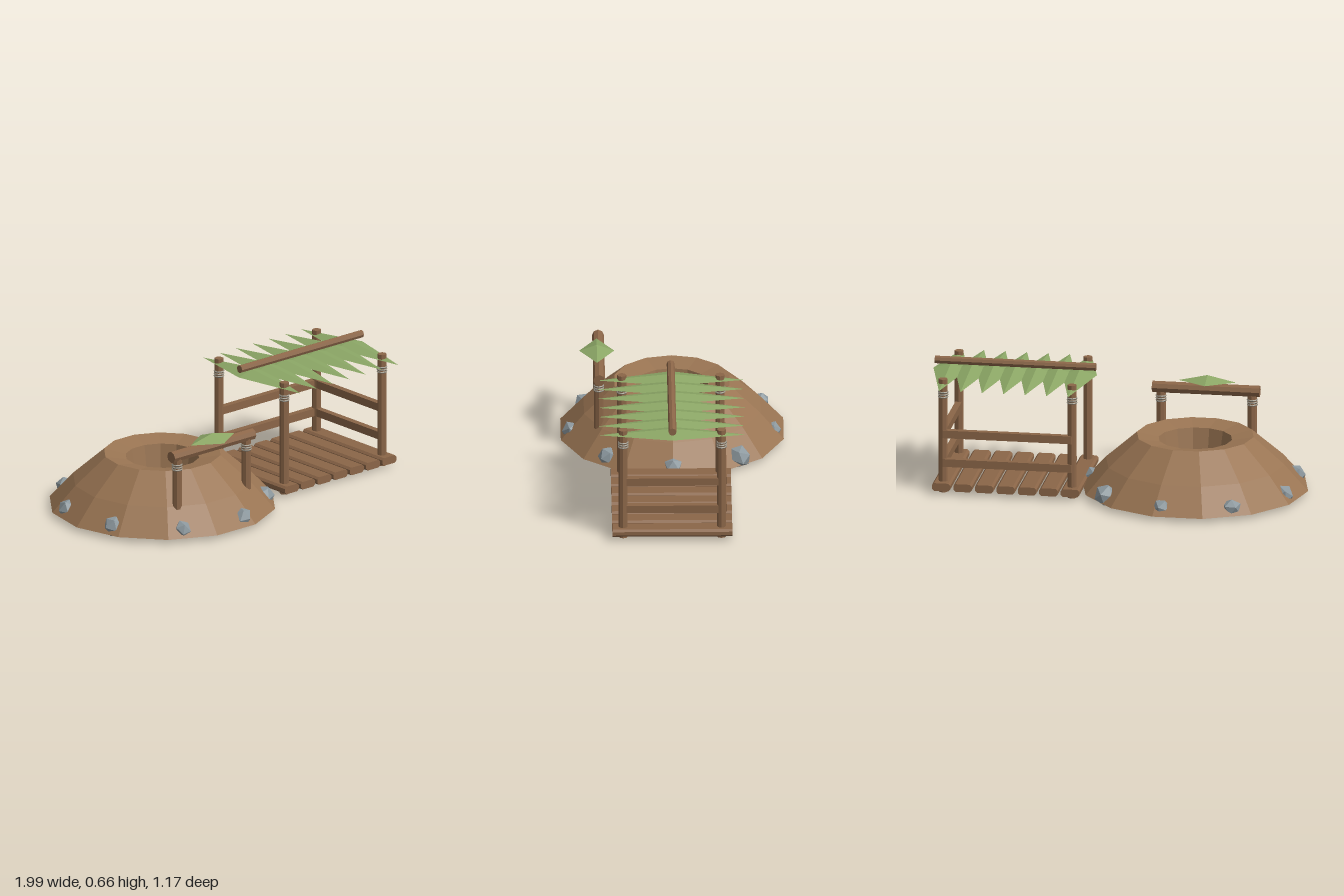
import * as THREE from 'three';

const flat = (color, name, side = THREE.FrontSide) => {
  const m = new THREE.MeshStandardMaterial({ color, flatShading: true, side });
  m.name = name;
  return m;
};

export function createModel() {
  const earth = flat(0x9a7553, 'earth', THREE.DoubleSide);
  const wood = flat(0x8b6648, 'wood');
  const leaf = flat(0x8ba665, 'leaf', THREE.DoubleSide);
  const stone = flat(0x8d999f, 'stone');
  const rope = flat(0x9c978a, 'rope');

  const model = new THREE.Group();
  model.name = 'moundAndShelter';

  const add = (parent, name, geometry, material, x = 0, y = 0, z = 0) => {
    const mesh = new THREE.Mesh(geometry, material);
    mesh.name = name;
    mesh.position.set(x, y, z);
    parent.add(mesh);
    return mesh;
  };
  const group = (name) => {
    const g = new THREE.Group();
    g.name = name;
    model.add(g);
    return g;
  };

  // Upright pole with three rope rings below its top
  const post = (parent, name, x, z, height, r, ropeY) => {
    add(parent, name, new THREE.CylinderGeometry(r, r, height, 8), wood, x, height / 2, z);
    for (let i = -1; i <= 1; i++) {
      const ring = add(parent, 'lashing', new THREE.TorusGeometry(r, 0.005, 5, 10), rope, x, ropeY + i * 0.013, z);
      ring.rotation.x = Math.PI / 2;
    }
  };
  // Pole lying along x
  const beam = (parent, name, x0, x1, y, z, r) => {
    const m = add(parent, name, new THREE.CylinderGeometry(r, r, x1 - x0, 8), wood, (x0 + x1) / 2, y, z);
    m.rotation.set(0, 0, Math.PI / 2);
  };
  // Diamond leaf with a raised middle; side corners sit at sideY, tips at 0
  const leafGeometry = (halfX, halfZ, height, sideY) => {
    const g = new THREE.BufferGeometry();
    g.setAttribute('position', new THREE.Float32BufferAttribute([
      0, height, 0, halfX, sideY, 0, 0, 0, halfZ, -halfX, sideY, 0, 0, 0, -halfZ], 3));
    g.setIndex([0, 2, 1, 0, 3, 2, 0, 4, 3, 0, 1, 4]);
    const out = g.toNonIndexed();
    out.computeVertexNormals();
    return out;
  };

  // Hollow mound with a tapering shaft
  const mound = group('mound');
  const profile = [[0.6, 0.02], [0.475, 0.158], [0.31, 0.302], [0.195, 0.28], [0.15, 0.01]]
    .map(([r, y]) => new THREE.Vector2(r, y));
  add(mound, 'moundShell', new THREE.LatheGeometry(profile, 14), earth, -0.4, 0, 0).rotation.y = Math.PI / 2;

  // Stones set around the foot of the mound
  const sizes = [0.054, 0.056, 0.057, 0.05, 0.056, 0.055, 0.054, 0.05, 0.064];
  sizes.forEach((r, i) => {
    const a = (i * 40 * Math.PI) / 180;
    const d = i === 8 ? 0.545 : 0.535;
    const s = add(mound, 'stone', new THREE.IcosahedronGeometry(r, 0), stone,
      -0.4 + d * Math.cos(a), 0.053, d * Math.sin(a));
    s.rotation.set(i * 0.7, i * 1.3, i * 0.4);
    s.scale.y = 0.9;
  });

  // Small gate in front of the shaft
  const gate = group('gate');
  for (const x of [-0.64, -0.155]) post(gate, 'gatePost', x, 0.387, 0.425, 0.025, 0.375);
  beam(gate, 'gateBeam', -0.68, -0.11, 0.435, 0.385, 0.031);
  add(gate, 'gateLeaf', leafGeometry(0.153, 0.092, 0.034, 0), leaf, -0.4, 0.474, 0.395);

  // Shelter: chamfered floor planks and roof leaves, one per bay
  const shelter = group('shelter');
  const cz = 0.013, w = 0.049, h = 0.021, c = 0.011;
  const section = new THREE.Shape([
    [-w + c, -h], [w - c, -h], [w, -h + c], [w, h - c], [w - c, h], [-w + c, h], [-w, h - c], [-w, -h + c],
  ].map(([x, y]) => new THREE.Vector2(x, y)));
  const plank = new THREE.ExtrudeGeometry(section, { depth: 0.63, bevelEnabled: false });
  for (let i = 0; i < 7; i++) {
    const x = 0.217 + i * 0.1142;
    add(shelter, 'floorPlank', plank, wood, x, 0.038, cz - 0.315);
    add(shelter, 'roofLeaf', leafGeometry(0.092, 0.385, 0.036, 0.01), leaf, x, 0.586, cz);
  }

  // Corner posts and ridge pole
  for (const x of [0.215, 0.9]) {
    for (const s of [-1, 1]) post(shelter, 'shelterPost', x, cz + s * 0.258, 0.617, 0.024, 0.533);
  }
  beam(shelter, 'ridgePole', 0.13, 0.985, 0.641, cz, 0.021);

  // Rails along the back and the left side
  for (const y of [0.163, 0.32]) {
    add(shelter, 'backRail', new THREE.BoxGeometry(0.685, 0.042, 0.034), wood, 0.5575, y, -0.256);
    add(shelter, 'sideRail', new THREE.BoxGeometry(0.034, 0.042, 0.516), wood, 0.9, y, cz);
  }
  return model;
}
